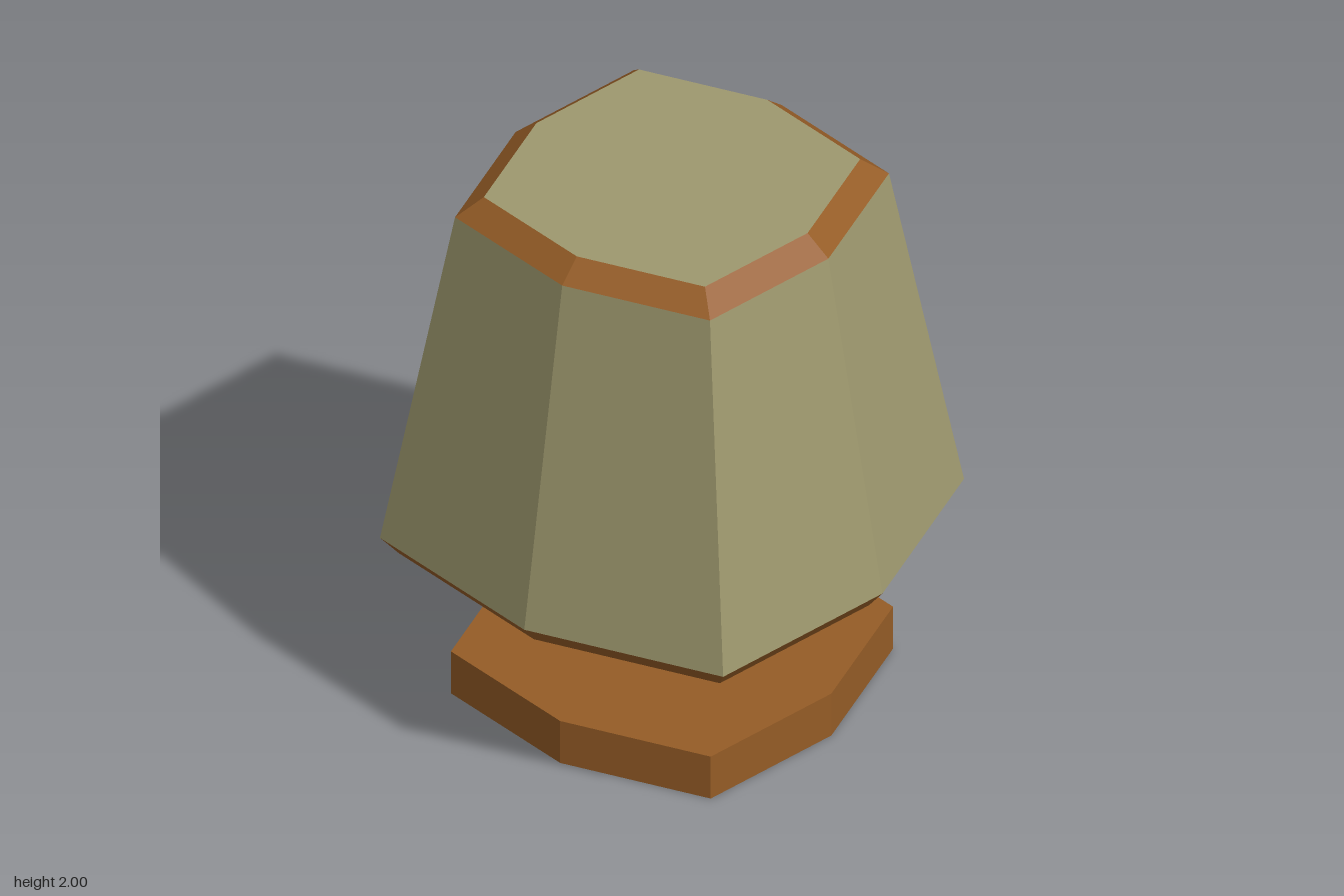
import * as THREE from 'three';

const wood = new THREE.MeshStandardMaterial({ color: 0x955c26, flatShading: true });
const fabric = new THREE.MeshStandardMaterial({ color: 0x9e986e, flatShading: true });

// Eight-sided turned form; the diagonal corners are pushed out towards a square.
// Profile entries are [radius on the axes, height].
function octagonal(name, profile, material) {
  const points = profile.map(([r, y]) => new THREE.Vector2(r, y));
  const geometry = new THREE.LatheGeometry(points, 8);
  const pos = geometry.attributes.position;
  for (let i = 0; i < pos.count; i++) {
    const x = pos.getX(i), z = pos.getZ(i);
    if (Math.min(Math.abs(x), Math.abs(z)) > 1e-4) {
      pos.setX(i, x * 1.153);
      pos.setZ(i, z * 1.153);
    }
  }
  const flat = geometry.toNonIndexed();
  flat.computeVertexNormals();
  const mesh = new THREE.Mesh(flat, material);
  mesh.name = name;
  return mesh;
}

// Closed upright block
const block = (name, r, y0, y1) =>
  octagonal(name, [[0, y0], [r, y0], [r, y1], [0, y1]], wood);

export function createModel() {
  const lamp = new THREE.Group();
  lamp.name = 'tableLamp';

  // Foot, collar and post
  lamp.add(
    block('base', 0.645, 0, 0.17),
    block('collar', 0.232, 0.17, 0.265),
    block('stem', 0.092, 0.265, 1.86)
  );

  // Hollow shade with bevelled wooden trims
  const shade = new THREE.Group();
  shade.name = 'shade';
  shade.add(
    octagonal('shadeWall', [[0.852, 0.66], [0.633, 1.93]], fabric),
    octagonal('shadeTop', [[0.549, 2], [0, 2]], fabric),
    octagonal('topTrim', [[0.633, 1.93], [0.549, 2]], wood),
    octagonal('bottomTrim', [[0.797, 0.59], [0.852, 0.66]], wood),
    // Underside rim, inner walls and ceiling
    octagonal('shadeInside', [[0, 1.86], [0.47, 1.86], [0.65, 0.59], [0.797, 0.59]], fabric)
  );
  lamp.add(shade);
  return lamp;
}
